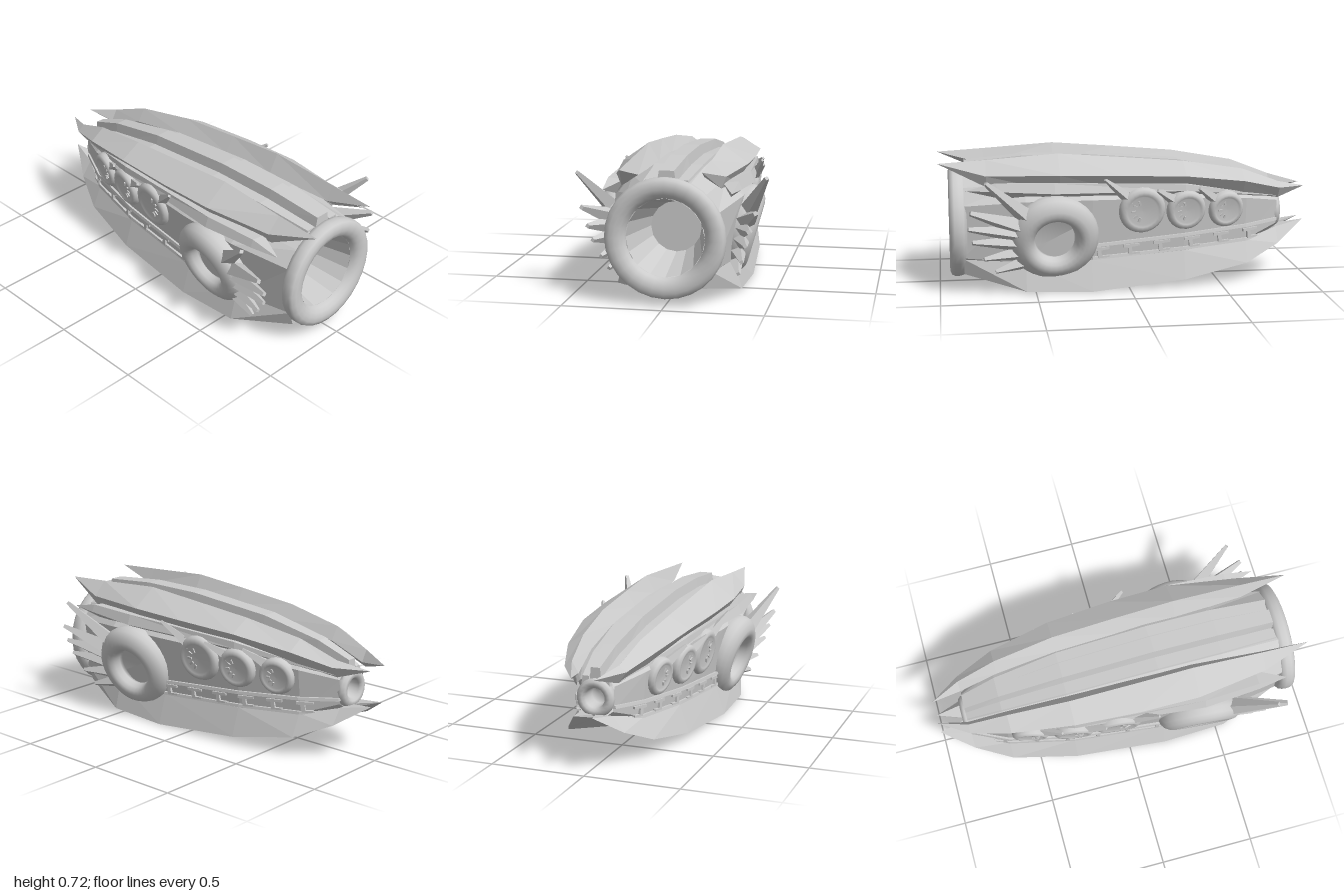
import * as THREE from 'three';

const mat = new THREE.MeshStandardMaterial({ color: 0xcccccc, side: THREE.DoubleSide });
const flat = new THREE.MeshStandardMaterial({ color: 0xcccccc, flatShading: true });
const flatOpen = new THREE.MeshStandardMaterial({ color: 0xcccccc, flatShading: true, side: THREE.DoubleSide });

function add(parent, name, geometry, material = flat) {
  const mesh = new THREE.Mesh(geometry, material);
  mesh.name = name;
  parent.add(mesh);
  return mesh;
}

// Skin closed sections along x; each station is [x, [[z, y], ...]]
function loft(stations, capped = true) {
  const pos = [];
  const mid = stations[Math.floor(stations.length / 2)][1];
  let area = 0;
  mid.forEach(([z, y], j) => {
    const [z2, y2] = mid[(j + 1) % mid.length];
    area += y * z2 - z * y2;
  });
  const rings = stations.map(([x, pts]) => {
    const ring = pts.map(([z, y]) => [x, y, z]);
    return area < 0 ? ring.reverse() : ring;
  });
  const n = mid.length, last = rings.length - 1;
  for (let i = 0; i < last; i++) {
    for (let j = 0; j < n; j++) {
      const k = (j + 1) % n, a = rings[i], b = rings[i + 1];
      pos.push(...a[j], ...a[k], ...b[j], ...a[k], ...b[k], ...b[j]);
    }
  }
  if (capped) {
    for (let j = 1; j < n - 1; j++) {
      pos.push(...rings[0][0], ...rings[0][j + 1], ...rings[0][j]);
      pos.push(...rings[last][0], ...rings[last][j], ...rings[last][j + 1]);
    }
  }
  const g = new THREE.BufferGeometry();
  g.setAttribute('position', new THREE.Float32BufferAttribute(pos, 3));
  g.computeVertexNormals();
  return g;
}
const tip = (x, z, y) => [x, Array.from({ length: 4 }, () => [z, y])];

// Hull rows: x, top y, half width of the deck, upper side z/y, lower side z/y, bottom y
const hullRows = [
  [-0.84, 0.45, 0.06, 0.10, 0.42, 0.09, 0.29, 0.26],
  [-0.65, 0.52, 0.09, 0.195, 0.455, 0.17, 0.22, 0.15],
  [-0.30, 0.59, 0.12, 0.275, 0.48, 0.24, 0.185, 0.08],
  [0.20, 0.63, 0.13, 0.325, 0.49, 0.28, 0.155, 0.045],
  [0.55, 0.63, 0.13, 0.33, 0.49, 0.28, 0.155, 0.045],
  [0.88, 0.60, 0.12, 0.255, 0.46, 0.235, 0.18, 0.07],
];
function hullAt(x) {
  let i = 0;
  while (i < hullRows.length - 2 && x > hullRows[i + 1][0]) i++;
  const a = hullRows[i], b = hullRows[i + 1], t = (x - a[0]) / (b[0] - a[0]);
  return a.map((v, k) => v + (b[k] - v) * t);
}
function sideZ(x, y) {
  const [, , , zt, yt, zb, yb] = hullAt(x);
  return zb + (zt - zb) * (y - yb) / (yt - yb);
}

// Flat-ended four-sided spike between two points
function spike(parent, from, to, w) {
  const a = new THREE.Vector3(...from), b = new THREE.Vector3(...to), d = b.clone().sub(a);
  const m = add(parent, 'spike', new THREE.CylinderGeometry(w * 0.25, w, d.length(), 4));
  m.position.copy(a).add(b).multiplyScalar(0.5);
  m.quaternion.setFromUnitVectors(new THREE.Vector3(0, 1, 0), d.normalize());
}

function lathe(points, segments) {
  return new THREE.LatheGeometry(points.map(p => new THREE.Vector2(...p)), segments);
}

// Copy every mesh of a group across the centre plane, with corrected winding
function mirrored(group) {
  const out = new THREE.Group();
  out.name = 'rightSide';
  group.updateMatrixWorld(true);
  group.traverse(o => {
    if (!o.isMesh) return;
    const g = o.geometry.index ? o.geometry.toNonIndexed() : o.geometry.clone();
    g.applyMatrix4(o.matrixWorld).applyMatrix4(new THREE.Matrix4().makeScale(1, 1, -1));
    for (const attr of Object.values(g.attributes)) {
      const s = attr.itemSize;
      for (let i = 0; i < attr.count; i += 3) {
        for (let k = 0; k < s; k++) {
          const p = i * s + k, q = (i + 2) * s + k, v = attr.array[p];
          attr.array[p] = attr.array[q];
          attr.array[q] = v;
        }
      }
    }
    add(out, o.name, g, o.material);
  });
  return out;
}

function buildSide() {
  const side = new THREE.Group();
  side.name = 'leftSide';

  // Long pointed fins above the shoulder
  add(side, 'upperFin', loft([
    tip(-1, 0.06, 0.49),
    [-0.84, [[0.125, 0.53], [0.165, 0.50], [0.12, 0.44], [0.09, 0.47]]],
    [-0.63, [[0.155, 0.61], [0.24, 0.555], [0.185, 0.48], [0.11, 0.54]]],
    [-0.30, [[0.185, 0.665], [0.30, 0.60], [0.235, 0.52], [0.13, 0.59]]],
    [0.05, [[0.192, 0.695], [0.325, 0.615], [0.26, 0.53], [0.138, 0.612]]],
    [0.37, [[0.195, 0.72], [0.33, 0.625], [0.27, 0.53], [0.14, 0.62]]],
    [0.75, [[0.20, 0.695], [0.275, 0.62], [0.25, 0.56], [0.165, 0.615]]],
    tip(1, 0.20, 0.68),
  ]));
  add(side, 'sideFin', loft([
    tip(-0.84, 0.13, 0.45),
    [-0.30, [[0.29, 0.52], [0.285, 0.555], [0.23, 0.56], [0.24, 0.49]]],
    [0.40, [[0.365, 0.535], [0.345, 0.588], [0.26, 0.58], [0.29, 0.50]]],
    [0.70, [[0.345, 0.55], [0.33, 0.59], [0.25, 0.58], [0.29, 0.51]]],
    tip(0.86, 0.32, 0.555),
  ]));

  // Flared lower plate: outer edge z/y, top joint z/y, centre y
  const plate = [
    [-1, 0.05, 0.30, 0.05, 0.30, 0.05, 0.30],
    [-0.84, 0.15, 0.19, 0.09, 0.27, 0, 0.25],
    [-0.65, 0.235, 0.105, 0.18, 0.22, 0, 0.15],
    [-0.30, 0.30, 0.04, 0.25, 0.19, 0, 0.08],
    [0.20, 0.335, 0, 0.285, 0.16, 0, 0.04],
    [0.55, 0.325, 0.01, 0.285, 0.16, 0, 0.04],
    [0.87, 0.20, 0.085, 0.225, 0.17, 0, 0.06],
  ];
  add(side, 'lowerPlate', loft(plate.map(([x, zo, yo, zt, yt, zc, yc]) =>
    [x, [[zo, yo], [zt, yt], [zc, yc + (x > -1 ? 0.02 : 0)], [zc, yc]]])));

  // Rails of the toothed band
  for (const [y0, y1] of [[0.315, 0.24], [0.235, 0.17]]) {
    add(side, 'bandRail', loft([-0.84, -0.65, -0.3, 0.2].map(x => {
      const y = y0 + (y1 - y0) * (x + 0.84) / 1.04, z = sideZ(x, y);
      return [x, [[z - 0.02, y - 0.008], [z + 0.015, y - 0.008], [z + 0.012, y + 0.008], [z - 0.02, y + 0.01]]];
    })));
  }
  // Hooked teeth
  const hook = new THREE.Shape([[-0.045, 0.03], [0.045, 0.025], [0.045, 0.01], [0.02, 0.01], [0.015, -0.03],
    [-0.045, -0.025], [-0.045, -0.015], [-0.005, -0.018], [0, 0.012], [-0.045, 0.018]].map(p => new THREE.Vector2(...p)));
  for (let i = 0; i < 6; i++) {
    const x = -0.67 + i * 0.165, y = 0.27 - 0.07 * (x + 0.84);
    const m = add(side, 'tooth', new THREE.ExtrudeGeometry(hook, { depth: 0.022, bevelEnabled: false }));
    m.position.set(x, y, sideZ(x, y) - 0.01);
    m.rotation.y = -Math.atan((sideZ(x + 0.04, y) - sideZ(x - 0.04, y)) / 0.08);
  }

  // Three side discs, each with studs and a swept spike
  for (const [x, y, r, tx, ty, tz] of [[-0.53, 0.405, 0.10, -0.37, 0.535, 0.305],
    [-0.305, 0.415, 0.108, -0.14, 0.535, 0.34], [-0.065, 0.425, 0.126, 0.14, 0.605, 0.37]]) {
    const disc = new THREE.Group();
    disc.name = 'sideDisc';
    disc.position.set(x, y, sideZ(x, y));
    const slope = (sideZ(x + 0.08, y) - sideZ(x - 0.08, y)) / 0.16;
    disc.rotation.set(0.16, -Math.atan(slope), 0);
    side.add(disc);
    add(disc, 'discRim', lathe([[r, -0.06], [r, 0.005], [r * 0.95, 0.02], [r * 0.84, 0.03],
      [r * 0.7, 0.03], [r * 0.62, 0.022], [0, 0.02]], 24), mat).rotation.x = Math.PI / 2;
    for (let i = 0; i < 5; i++) {
      const a = -1.2 + i * 0.6;
      const stud = add(disc, 'discStud', new THREE.BoxGeometry(r * 0.2, r * 0.09, 0.02));
      stud.position.set(Math.cos(a) * r * 0.4, Math.sin(a) * r * 0.4, 0.018);
      stud.rotation.z = a;
    }
    spike(side, [x + r * 0.5, y + r * 0.45, sideZ(x, y) + 0.005], [tx, ty, tz], 0.036);
  }

  // Large domed side wheel with a sunken hub
  const wheel = add(side, 'sideWheel', lathe([[0.21, -0.12], [0.23, -0.05], [0.235, -0.025], [0.228, 0.005], [0.21, 0.028],
    [0.18, 0.045], [0.155, 0.049], [0.132, 0.042], [0.117, 0.022], [0.108, -0.01], [0.104, -0.03], [0, -0.03]], 32), mat);
  wheel.position.set(0.397, 0.285, 0.328);
  wheel.rotation.set(Math.PI / 2 + 0.27, 0, 0.07);

  // Fan of spikes behind the wheel
  for (const [bx, by, bz, tx, ty, tz, w] of [
    [0.53, 0.40, 0.345, 0.76, 0.62, 0.474, 0.05], [0.56, 0.355, 0.335, 0.84, 0.46, 0.432, 0.055],
    [0.56, 0.32, 0.33, 0.85, 0.37, 0.40, 0.052], [0.56, 0.27, 0.315, 0.83, 0.295, 0.38, 0.05],
    [0.55, 0.22, 0.30, 0.77, 0.20, 0.355, 0.047], [0.53, 0.17, 0.285, 0.71, 0.125, 0.33, 0.045]]) {
    spike(side, [bx, by, bz], [tx, ty, tz], w);
  }
  return side;
}

export function createModel() {
  const model = new THREE.Group();
  model.name = 'finnedVessel';

  // Faceted hull, open at both ends for the nozzles
  add(model, 'hull', loft(hullRows.map(([x, top, w, zt, yt, zb, yb, bot]) => {
    const half = [[w, top], [w + (zt - w) * 0.55, yt + (top - yt) * 0.62], [zt, yt], [zb, yb], [w * 0.85, bot]];
    return [x, [...half, ...half.map(([z, y]) => [-z, y]).reverse()]];
  }), false), flatOpen);

  // Raised ridges along the deck, drawn together at both ends
  const spread = [0.55, 0.75, 0.95, 1, 1, 0.85];
  const ridge = (z0, z1, h, inset) => loft([-0.84, -0.65, -0.3, 0.2, 0.55, 0.86].map((x, i) => {
    const y = hullAt(x)[1], k = spread[i];
    return [x, [[z0 * k, y - 0.04], [(z0 + inset) * k, y + h], [(z1 - inset) * k, y + h], [z1 * k, y - 0.04]]];
  }));
  add(model, 'centreRidge', ridge(-0.062, 0.062, 0.058, 0.018));
  add(model, 'sideRidge', ridge(0.05, 0.14, 0.012, 0.015));
  add(model, 'sideRidge', ridge(-0.14, -0.05, 0.012, 0.015));

  // Wide round mouth at one end, with a faceted funnel inside
  const mouth = new THREE.Group();
  mouth.name = 'mouth';
  mouth.rotation.z = -Math.PI / 2;
  mouth.position.y = 0.335;
  model.add(mouth);
  add(mouth, 'mouthRing', lathe([[0.24, 0.85], [0.275, 0.855], [0.293, 0.87], [0.30, 0.89], [0.30, 0.918], [0.292, 0.936],
    [0.27, 0.945], [0.245, 0.945], [0.22, 0.937], [0.203, 0.92], [0.196, 0.90]], 28), mat);
  add(mouth, 'mouthFunnel', lathe([[0.196, 0.90], [0.13, 0.62], [0, 0.62]], 16), flatOpen);

  // Small nozzle at the narrow end
  const nozzle = add(model, 'nozzle', lathe([[0.09, 0.80], [0.10, 0.83], [0.098, 0.85], [0.085, 0.865],
    [0.065, 0.865], [0.052, 0.85], [0.045, 0.78], [0, 0.78]], 20), mat);
  nozzle.rotation.z = Math.PI / 2;
  nozzle.position.y = 0.355;

  const left = buildSide();
  model.add(left, mirrored(left));
  return model;
}
